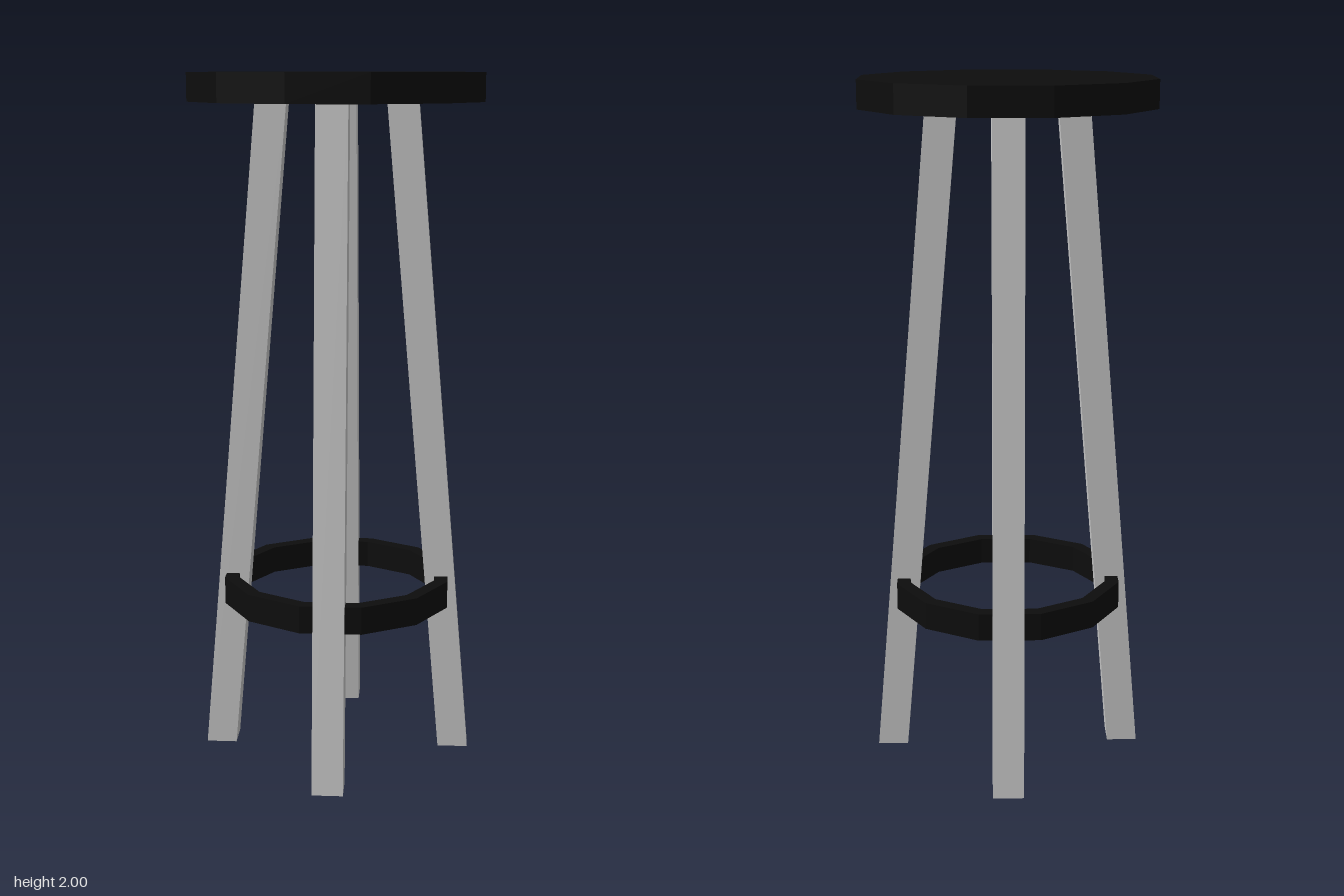
import * as THREE from 'three';

const SEAT_Y = 1.92;

export function createModel() {
  const stool = new THREE.Group();
  stool.name = 'barStool';
  const black = new THREE.MeshStandardMaterial({ color: 0x0d0d0d, flatShading: true });
  const grey = new THREE.MeshStandardMaterial({ color: 0xcccccc, flatShading: true });

  const add = (name, geometry, material) => {
    const mesh = new THREE.Mesh(geometry, material);
    mesh.name = name;
    stool.add(mesh);
    return mesh;
  };

  // Twelve-sided seat disc
  add('seat', new THREE.CylinderGeometry(0.425, 0.425, 0.08, 12), black).position.y = SEAT_Y + 0.04;

  // Footrest ring with a rectangular section
  const section = [[0.3, 0.46], [0.34, 0.46], [0.34, 0.54], [0.3, 0.54], [0.3, 0.46]]
    .map(([r, y]) => new THREE.Vector2(r, y));
  add('footrestRing', new THREE.LatheGeometry(section, 12), black);

  // Square leg set diagonally, leaning inwards with level ends
  const makeLeg = (sx, sz) => {
    const geometry = new THREE.CylinderGeometry(0.063, 0.063, SEAT_Y, 4);
    geometry.translate(0, SEAT_Y / 2, 0);
    const p = geometry.attributes.position;
    for (let i = 0; i < p.count; i++) {
      const t = p.getY(i) / SEAT_Y;
      p.setX(i, p.getX(i) + sx * THREE.MathUtils.lerp(0.245, 0.13, t));
      p.setZ(i, p.getZ(i) + sz * THREE.MathUtils.lerp(0.252, 0.132, t));
    }
    geometry.computeVertexNormals();
    return geometry;
  };
  for (const [side, sx] of [['Left', 1], ['Right', -1]]) {
    for (const [end, sz] of [['front', 1], ['back', -1]]) {
      add(`${end}${side}Leg`, makeLeg(sx, sz), grey);
    }
  }

  return stool;
}
